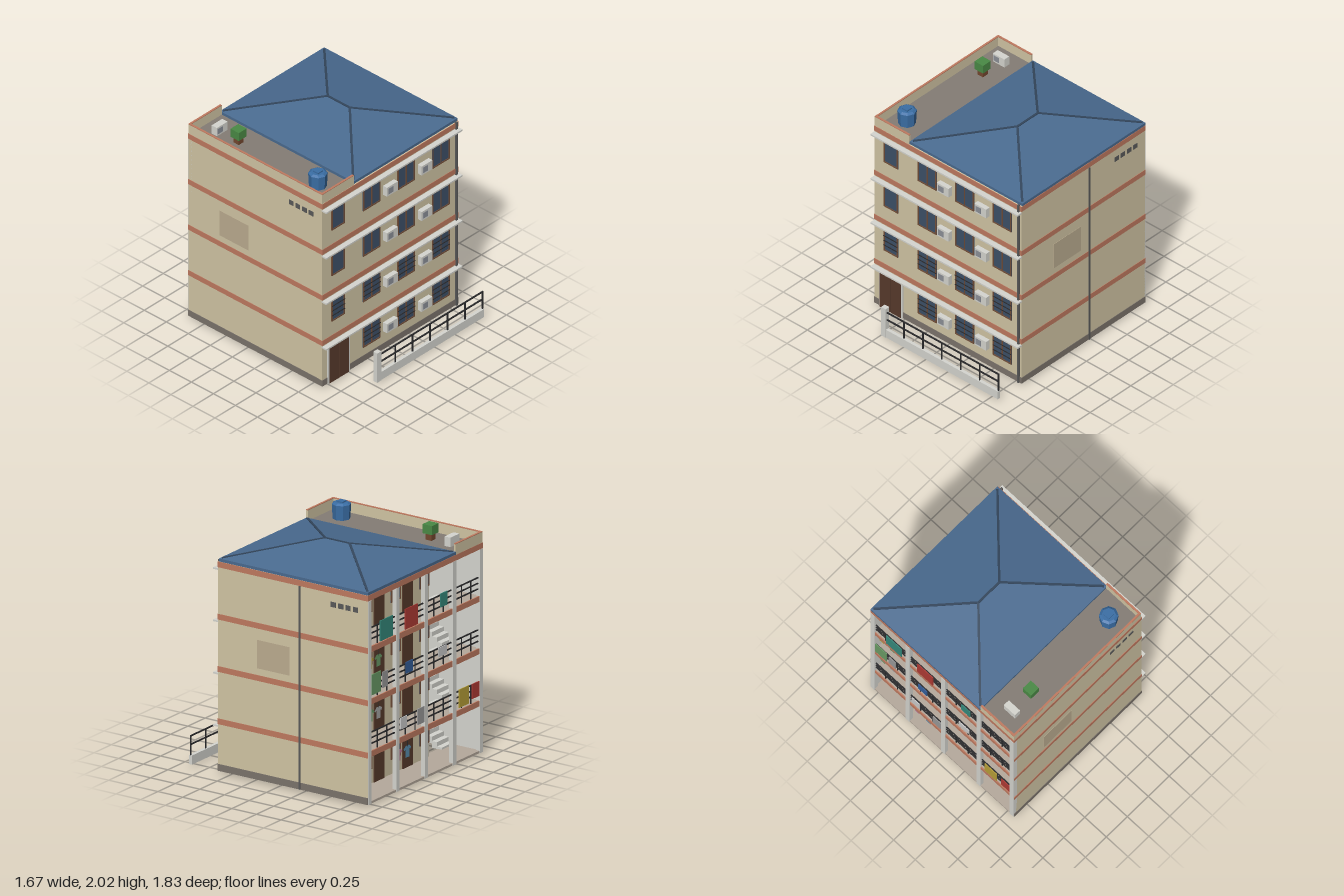
import * as THREE from 'three';

const mats = {};
const mat = (color) => (mats[color] ??= new THREE.MeshStandardMaterial({ color, flatShading: true, side: THREE.DoubleSide }));
const C = {
  wall: 0xd2c6a5, band: 0xc07a60, trim: 0xd6d6d0, plinth: 0x7c746c, glass: 0x3d5068, frame: 0x74503a,
  door: 0x583a2c, dark: 0x2a2a2c, pipe: 0x5a5a5a, slab: 0xb5a99c, deck: 0x847d75, roof: 0x4a6b90,
  ridge: 0x33465c, patch: 0xbcad90, grille: 0x8c9098, tank: 0x3a6ea5,
};
const FLOOR = 0.46;
const COLS = [0.805, 0.4, -0.01, -0.42, -0.805];

export function createModel() {
  const model = new THREE.Group();

  const add = (name, geo, color, parent = model) => {
    const m = new THREE.Mesh(geo, mat(color));
    m.name = name;
    parent.add(m);
    return m;
  };
  // box given by its lower and upper limits on each axis
  const box = (name, color, x0, x1, y0, y1, z0, z1, parent) => {
    const m = add(name, new THREE.BoxGeometry(x1 - x0, y1 - y0, z1 - z0), color, parent);
    m.position.set((x0 + x1) / 2, (y0 + y1) / 2, (z0 + z1) / 2);
    return m;
  };
  const group = (name) => {
    const g = new THREE.Group();
    g.name = name;
    model.add(g);
    return g;
  };

  // outer shell
  box('frontWall', C.wall, -0.83, 0.83, 0, 1.84, 0.58, 0.61);
  for (const s of [-1, 1]) {
    const side = (name, color, a, b, y0, y1, z0, z1) =>
      box(name, color, Math.min(s * a, s * b), Math.max(s * a, s * b), y0, y1, z0, z1);
    side('sideWall', C.wall, 0.8, 0.828, 0, 1.84, -0.91, 0.609);
    side('corridorEndWall', C.trim, 0.796, 0.8, 0.02, 1.79, -0.905, s < 0 ? -0.18 : -0.65);
    side('sidePlinth', C.plinth, 0.828, 0.832, 0, 0.06, -0.91, 0.614);
    for (let f = 1; f <= 4; f++) side('sideBand', C.band, 0.828, 0.832, f * FLOOR - 0.05, f * FLOOR, -0.912, 0.614);
    const pz = s > 0 ? 0.05 : -0.39;
    side('wallPatch', C.patch, 0.828, 0.831, 0.98, 1.23, pz - 0.165, pz + 0.165);
    for (let i = 0; i < 4; i++) {
      const z = s > 0 ? -0.56 - i * 0.075 : 0.26 + i * 0.075;
      side('vent', C.pipe, 0.828, 0.832, 1.67, 1.715, z - 0.025, z + 0.025);
    }
  }
  box('sideDrainpipe', C.pipe, 0.828, 0.838, 0, 1.79, -0.226, -0.211);
  box('frontDrainpipe', C.pipe, 0.79, 0.808, 0, 1.85, 0.608, 0.626);
  box('frontPlinth', C.plinth, -0.832, 0.832, 0, 0.06, 0.61, 0.614);
  for (let f = 1; f <= 4; f++) {
    box('frontBand', C.band, -0.832, 0.832, f * FLOOR - 0.05, f * FLOOR, 0.61, 0.614);
    box('frontLedge', C.trim, -0.83, 0.83, f * FLOOR - 0.075, f * FLOOR - 0.06, 0.605, 0.66);
  }

  // framed window; dir is +1 facing the front, -1 facing the back
  const windowUnit = (x, y, w, h, z, dir, mullion, bars) => {
    const g = group('window');
    g.position.set(x, y, z);
    if (dir < 0) g.rotation.y = Math.PI;
    const t = 0.012;
    box('glass', C.glass, -w / 2, w / 2, -h / 2, h / 2, -0.004, 0.004, g);
    for (const s of [-1, 1]) {
      const fx = s * (w - t) / 2, fy = s * (h - t) / 2;
      box('frameSide', C.frame, fx - t / 2, fx + t / 2, -h / 2, h / 2, -0.004, 0.009, g);
      box('frameEdge', C.frame, -w / 2, w / 2, fy - t / 2, fy + t / 2, -0.004, 0.009, g);
    }
    if (mullion) box('mullion', C.frame, -0.005, 0.005, -h / 2, h / 2, -0.004, 0.008, g);
    if (bars) for (const by of [-0.045, 0, 0.045])
      box('bar', C.dark, -w / 2, w / 2, by * h / 0.2 - 0.003, by * h / 0.2 + 0.003, 0.006, 0.012, g);
  };

  // front windows and air conditioners
  for (let f = 0; f < 4; f++) {
    const y = f * FLOOR + 0.248;
    if (f > 0) windowUnit(-0.64, y, 0.16, 0.212, 0.61, 1, false, f < 2);
    for (const x of [-0.23, 0.19, 0.615]) windowUnit(x, y, 0.21, 0.212, 0.61, 1, true, f < 2);
    for (const x of [-0.02, 0.403]) {
      box('airConditioner', C.trim, x - 0.066, x + 0.066, y - 0.067, y + 0.023, 0.61, 0.655);
      box('airConditionerFan', C.grille, x - 0.05, x + 0.008, y - 0.05, y + 0.006, 0.65, 0.658);
    }
  }

  // entrance
  box('doorSurround', C.trim, -0.77, -0.505, 0, 0.385, 0.605, 0.622);
  for (const [a, b] of [[-0.755, -0.639], [-0.636, -0.52]]) box('doorLeaf', C.door, a, b, 0, 0.37, 0.61, 0.627);

  // front fence
  box('gatePillar', C.trim, -0.48, -0.43, 0, 0.295, 0.865, 0.91);
  box('fenceWall', C.trim, -0.43, 0.83, 0, 0.08, 0.875, 0.905);
  for (const y of [0.175, 0.25]) box('fenceRail', C.dark, -0.43, 0.83, y - 0.005, y + 0.005, 0.884, 0.896);
  for (let i = 0; i < 6; i++) {
    const x = -0.24 + i * 0.213;
    box('fencePost', C.dark, x - 0.005, x + 0.005, 0.08, 0.25, 0.885, 0.895);
  }

  // rear corridors: room wall, floors, doors, windows, railings
  box('roomWall', C.wall, -0.42, 0.8, 0, 1.79, -0.65, -0.62);
  box('groundSlab', C.slab, -0.42, 0.8, 0, 0.02, -0.91, -0.65);
  box('stairEntryFloor', C.slab, -0.8, -0.42, 0, 0.02, -0.91, -0.6);
  for (let f = 0; f < 4; f++) {
    const y = f * FLOOR;
    for (let r = 0; r < 3; r++) {
      const x = 0.715 - r * 0.412;
      box('roomDoor', C.door, x - 0.072, x + 0.072, y + 0.01, y + 0.33, -0.658, -0.645);
      windowUnit(x - 0.24, y + 0.235, 0.14, 0.17, -0.652, -1, true, false);
    }
    if (!f) continue;
    box('corridorSlab', C.slab, -0.8, 0.8, y - 0.045, y, -0.9, -0.64);
    box('slabEdge', C.band, -0.828, 0.828, y - 0.05, y, -0.91, -0.895);
    for (const h of [0.06, 0.11, 0.16])
      box('corridorRail', C.dark, -0.8, 0.8, y + h - 0.005, y + h + 0.005, -0.9, -0.89);
    for (let i = 0; i < 4; i++) for (const k of [0.33, 0.67]) {
      const x = COLS[i] + (COLS[i + 1] - COLS[i]) * k;
      box('railPost', C.dark, x - 0.004, x + 0.004, y, y + 0.16, -0.899, -0.891);
    }
  }
  box('topBeam', C.band, -0.83, 0.83, 1.79, 1.84, -0.912, -0.89);
  box('corridorCeiling', C.band, -0.42, 0.8, 1.788, 1.8, -0.9, -0.64);
  for (const x of COLS) box('column', C.trim, x - 0.023, x + 0.023, 0, 1.79, -0.915, -0.875);

  // stairwell with two flights per storey
  box('stairInnerWall', C.trim, -0.44, -0.42, 0, 1.79, -0.64, -0.18);
  box('stairEndWall', C.trim, -0.8, -0.42, 0, 1.79, -0.2, -0.18);
  for (let f = 0; f < 3; f++) {
    const y = f * FLOOR, n = 6, rise = FLOOR / (2 * n), run = 0.05;
    for (let i = 0; i < n; i++) {
      const z = -0.64 + i * run, top = y + (i + 1) * rise;
      box('lowerStep', C.trim, -0.8, -0.625, top - 0.06, top, z, z + run);
      box('upperStep', C.trim, -0.615, -0.44, top + FLOOR / 2 - 0.06, top + FLOOR / 2, -z - run - 0.98, -z - 0.98);
    }
    box('stairLanding', C.trim, -0.8, -0.44, y + 0.19, y + 0.23, -0.34, -0.2);
  }

  // laundry over the railings: x, y, width, height, colour
  const cloths = [
    [0.56, 1.48, 0.18, 0.18, 0x35897c], [0.2, 1.48, 0.18, 0.18, 0xb03a34], [-0.27, 1.5, 0.1, 0.12, 0x35897c],
    [0.71, 1.04, 0.13, 0.18, 0x6a9c66], [0.58, 1.04, 0.08, 0.14, 0x9a9a9a], [0.23, 1.05, 0.1, 0.1, 0x355f9c],
    [-0.25, 1.05, 0.12, 0.08, 0xc4c4c4], [0.31, 0.58, 0.09, 0.1, 0xc4c4c4], [0.06, 0.57, 0.1, 0.14, 0x9a9a9a],
    [-0.56, 0.56, 0.14, 0.16, 0xb8a038], [-0.73, 0.57, 0.1, 0.13, 0xb03a34],
  ];
  for (const [x, y, w, h, c] of cloths) box('hangingCloth', c, x - w / 2, x + w / 2, y - h / 2, y + h / 2, -0.913, -0.905);

  // shirts on a line
  const half = [[0.012, 0.05], [0.025, 0.05], [0.055, 0.025], [0.043, 0.008], [0.028, 0.02], [0.028, -0.055]];
  const outline = [...half, ...half.map(([x, y]) => [-x, y]).reverse()].map(([x, y]) => new THREE.Vector2(x, y));
  const shirtGeo = new THREE.ShapeGeometry(new THREE.Shape(outline));
  const shirts = [[0.74, 1.21, 0xb8a038], [0.62, 1.21, 0x6a9c66], [0.73, 0.75, 0x6a9c66], [0.62, 0.75, 0xa8a8a8],
    [0.33, 0.29, 0xc07898], [0.2, 0.29, 0x5a8fb0]];
  for (const [x, y, c] of shirts) {
    const shirt = add('shirt', shirtGeo, c);
    shirt.position.set(x, y, -0.87);
    shirt.rotation.y = Math.PI;
    box('hanger', C.dark, x - 0.002, x + 0.002, y + 0.04, y + 0.085, -0.872, -0.868);
  }

  // roof terrace
  box('roofDeck', C.deck, -0.82, 0.82, 1.8, 1.842, -0.9, 0.6);
  const parapet = (x0, x1, z0, z1) => {
    box('parapet', C.wall, x0, x1, 1.84, 1.932, z0, z1);
    box('parapetCap', C.band, x0, x1, 1.932, 1.938, z0, z1);
  };
  parapet(-0.828, -0.81, -0.91, 0.609);
  parapet(-0.81, -0.44, 0.59, 0.609);
  parapet(-0.81, -0.44, -0.91, -0.891);
  const tank = add('waterTank', new THREE.CylinderGeometry(0.082, 0.075, 0.13, 8), C.tank);
  tank.position.set(-0.655, 1.907, 0.4);
  const shoulder = add('tankShoulder', new THREE.CylinderGeometry(0.06, 0.082, 0.014, 8), C.tank);
  shoulder.position.set(-0.655, 1.979, 0.4);
  box('tankLid', C.tank, -0.685, -0.625, 1.98, 1.998, 0.37, 0.43);
  box('planterPot', 0x74482f, -0.67, -0.61, 1.842, 1.9, -0.545, -0.485);
  box('planterBush', 0x4a8a45, -0.688, -0.593, 1.9, 1.98, -0.562, -0.467);
  box('roofCondenser', C.trim, -0.7, -0.57, 1.842, 1.925, -0.765, -0.705);
  box('roofCondenserFan', C.grille, -0.69, -0.63, 1.858, 1.91, -0.706, -0.702);

  // hipped roof
  const v = (x, y, z) => new THREE.Vector3(x, y, z);
  const A = v(-0.44, 1.868, -0.912), B = v(0.83, 1.868, -0.912), D = v(-0.44, 1.868, 0.602), E = v(0.83, 1.868, 0.602);
  const R1 = v(0.195, 1.997, -0.28), R2 = v(0.195, 1.997, -0.03);
  const hip = new THREE.BufferGeometry().setFromPoints([D, E, R2, E, B, R1, E, R1, R2, B, A, R1, A, D, R2, A, R2, R1]);
  hip.computeVertexNormals();
  add('hippedRoof', hip, C.roof);
  box('roofEave', C.roof, -0.44, 0.83, 1.842, 1.868, -0.912, 0.602);
  for (const [p, q] of [[A, R1], [B, R1], [D, R2], [E, R2], [R1, R2]]) {
    const a = p.clone().lerp(q, p === R1 ? 0 : 0.03);
    const cap = add('ridgeCap', new THREE.BoxGeometry(0.02, 0.008, a.distanceTo(q)), C.ridge);
    cap.position.copy(a).lerp(q, 0.5);
    cap.lookAt(q);
  }
  return model;
}
